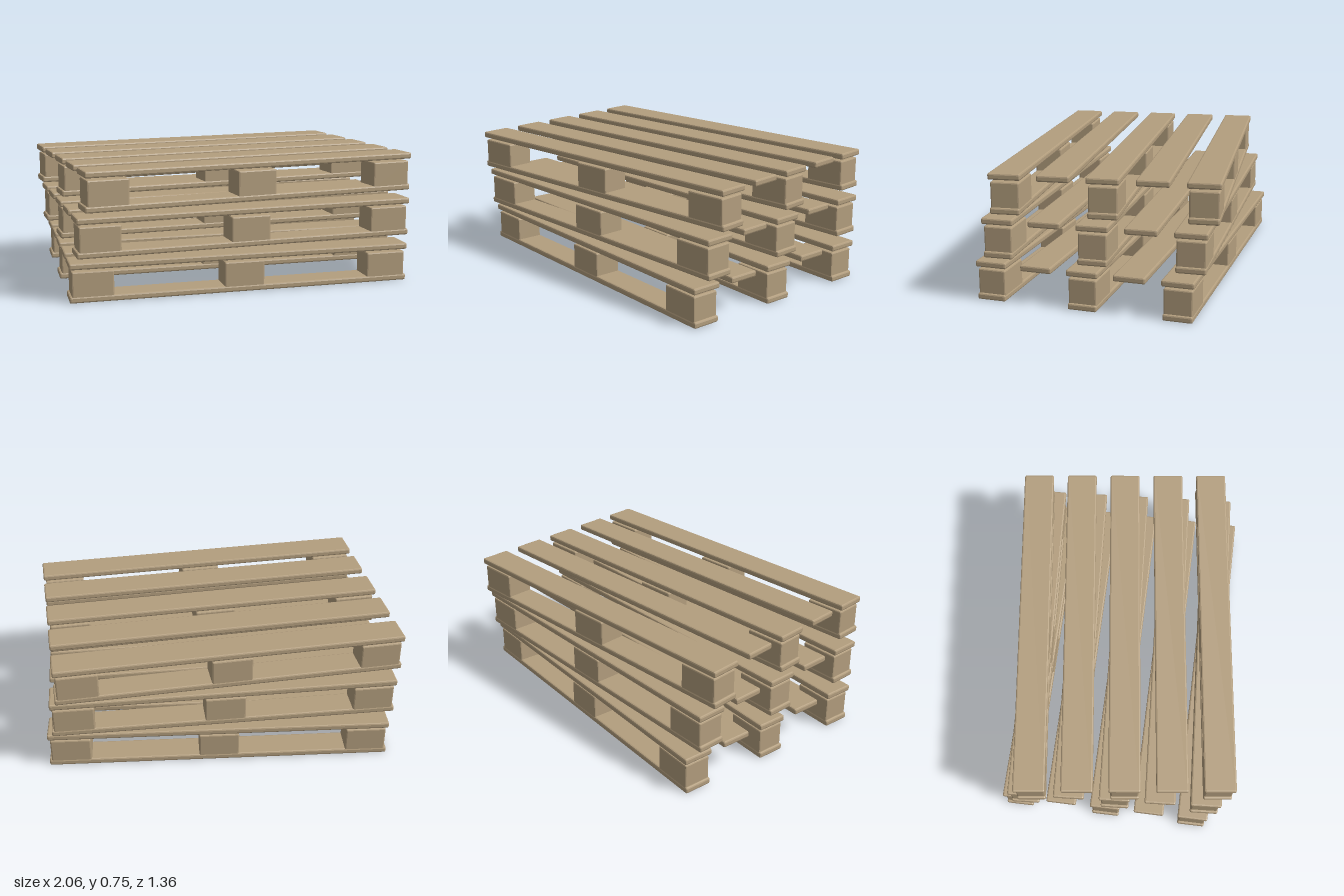
import * as THREE from 'three';
import { RoundedBoxGeometry } from 'three/addons/geometries/RoundedBoxGeometry.js';

const wood = new THREE.MeshStandardMaterial({ color: 0xb39e7e });
wood.name = 'wood';

// Box with small faceted edges
function plank(width, height, depth, bevel) {
  const geometry = new RoundedBoxGeometry(width, height, depth, 1, bevel);
  geometry.computeVertexNormals();
  return geometry;
}

const deckGeometry = plank(1.99, 0.036, 0.18, 0.009);
const baseGeometry = plank(1.99, 0.036, 0.165, 0.009);
const blockGeometry = plank(0.234, 0.152, 0.16, 0.008);

function add(group, name, geometry, x, y, z) {
  const mesh = new THREE.Mesh(geometry, wood);
  mesh.name = name;
  mesh.position.set(x, y, z);
  group.add(mesh);
}

function createPallet() {
  const pallet = new THREE.Group();

  // Three base boards, each carrying three blocks
  for (const z of [-0.533, 0, 0.533]) {
    add(pallet, 'baseBoard', baseGeometry, 0, 0.018, z);
    for (const x of [-0.865, 0, 0.865]) add(pallet, 'block', blockGeometry, x, 0.1, z);
  }

  // Five deck slats
  for (let i = -2; i <= 2; i++) add(pallet, 'deckSlat', deckGeometry, 0, 0.207, i * 0.2665);
  return pallet;
}

export function createModel() {
  const stack = new THREE.Group();
  stack.name = 'palletStack';

  // Lower, middle and upper pallets, each turned a little
  [-0.061, 0, 0.061].forEach((turn, i) => {
    const pallet = createPallet();
    pallet.name = ['lowerPallet', 'middlePallet', 'upperPallet'][i];
    pallet.position.y = i * 0.26;
    pallet.rotation.y = turn;
    stack.add(pallet);
  });
  return stack;
}
